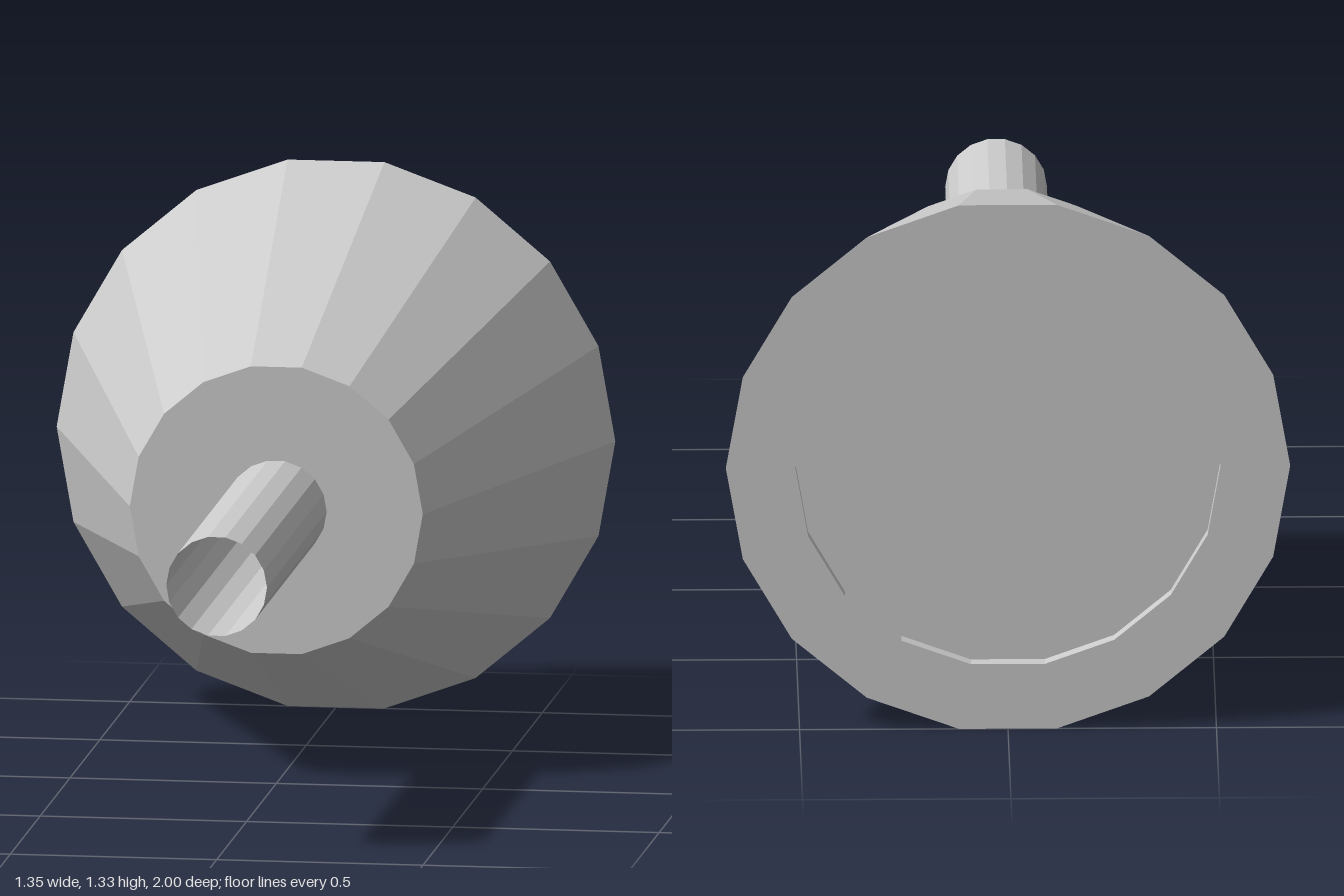
import * as THREE from 'three';

const SIDES = 18;
const AXIS_Y = 0.667;

// Revolve [radius, z] points about the z axis, with corners on the x axis
function revolve(name, profile, side) {
  const points = profile.map(([r, z]) => new THREE.Vector2(r, z));
  const geometry = new THREE.LatheGeometry(points, SIDES, Math.PI / 2);
  geometry.rotateX(Math.PI / 2);
  const material = new THREE.MeshStandardMaterial({ color: 0xcccccc, flatShading: true, side });
  const mesh = new THREE.Mesh(geometry, material);
  mesh.name = name;
  mesh.position.y = AXIS_Y;
  return mesh;
}

export function createModel() {
  const model = new THREE.Group();
  model.name = 'taperedHeadOnStem';

  // Tapered head: recessed back panel, flat rim, sloping wall, front cap
  model.add(revolve('head', [
    [0, -0.965], [0.51, -0.965], [0.51, -1], [0.677, -1], [0.355, 0], [0, 0],
  ], THREE.FrontSide));

  // Thin hollow stem, open at the front
  model.add(revolve('stem', [[0.122, 0], [0.122, 1]], THREE.DoubleSide));

  return model;
}
